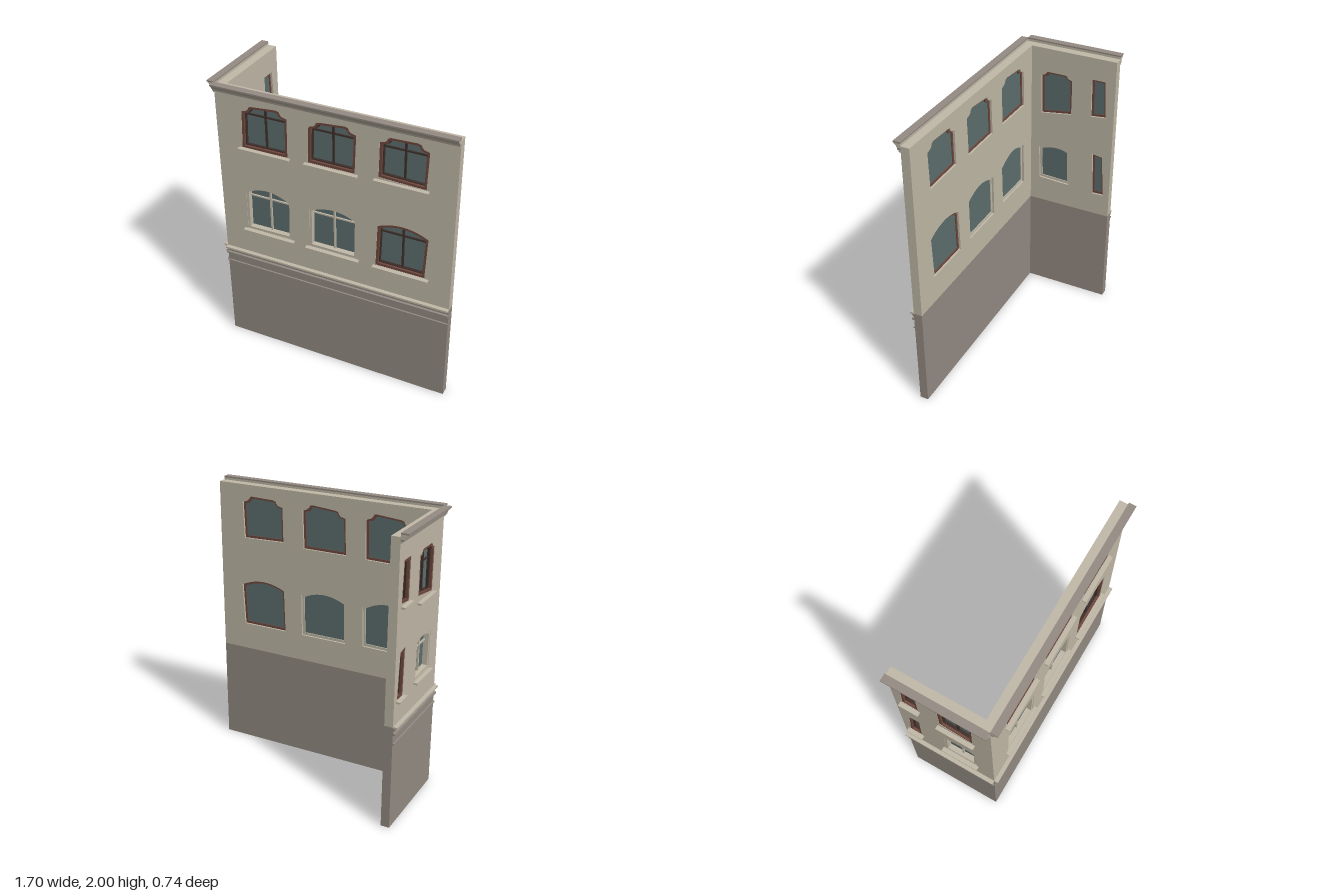
import * as THREE from 'three';

const mat = (name, color, side = THREE.FrontSide) => {
  const m = new THREE.MeshStandardMaterial({ color, side });
  m.name = name;
  return m;
};

export function createModel() {
  const plaster = mat('beige plaster', 0xc2baa8);
  const stone = mat('grey stone', 0x958c84);
  const glass = mat('window glass', 0x5e6f6f, THREE.DoubleSide);
  const brown = mat('brown frame', 0x70493f);
  const dark = mat('dark glazing bar', 0x3d2f2a);

  const T = 0.06, SPLIT = 0.74, TOP = 1.975;

  const add = (parent, name, geo, material) => {
    const m = new THREE.Mesh(geo, material);
    m.name = name;
    parent.add(m);
    return m;
  };
  const box = (parent, name, material, x0, x1, y0, y1, z0, z1) => {
    const g = new THREE.BoxGeometry(x1 - x0, y1 - y0, z1 - z0);
    g.translate((x0 + x1) / 2, (y0 + y1) / 2, (z0 + z1) / 2);
    return add(parent, name, g, material);
  };
  const toVec = (pts) => pts.map(([x, y]) => new THREE.Vector2(x, y));

  // Profile given as [outward, y], run along the wall from u0 to u1
  const moulding = (parent, name, material, u0, u1, profile) => {
    const g = new THREE.ExtrudeGeometry(new THREE.Shape(toVec(profile)), { depth: u1 - u0, bevelEnabled: false });
    g.rotateY(-Math.PI / 2);
    g.translate(u1, 0, 0);
    add(parent, name, g, material);
  };

  // Window outline, anticlockwise from bottom left; tl and tr are the shoulders
  const outline = ({ bl, tl, tr, br, style, rise = 0, notch = 0.075 }) => {
    if (style === 'arched') {
      const mid = new THREE.Vector2((tl[0] + tr[0]) / 2, (tl[1] + tr[1]) / 2 + rise * 2);
      const arc = new THREE.QuadraticBezierCurve(new THREE.Vector2(...tr), mid, new THREE.Vector2(...tl));
      return [...toVec([bl, br]), ...arc.getPoints(10)];
    }
    if (style === 'notched') {
      const steps = [[0, 0], [0.45, 0.2], [0.62, 0.45], [0.72, 0.85], [1, 1]];
      const right = steps.map(([a, b]) => [tr[0] - a * notch, tr[1] + b * rise]);
      const left = steps.map(([a, b]) => [tl[0] + a * notch, tl[1] + b * rise]).reverse();
      return toVec([bl, br, ...right, ...left]);
    }
    return toVec([bl, br, tr, tl]);
  };
  const inset = (pts, t) => {
    const b = new THREE.Box2().setFromPoints(pts);
    const c = b.getCenter(new THREE.Vector2()), s = b.getSize(new THREE.Vector2());
    return pts.map((p) => new THREE.Vector2(
      c.x + (p.x - c.x) * (1 - 2 * t / s.x), c.y + (p.y - c.y) * (1 - 2 * t / s.y)));
  };

  const buildWindow = (parent, w) => {
    const g = new THREE.Group();
    g.name = 'window';
    parent.add(g);
    const pts = outline(w);
    const t = w.pale ? 0.018 : 0.017;
    const inner = inset(pts, t);
    // Surround frame
    const ring = new THREE.Shape(pts);
    ring.holes.push(new THREE.Path(inner));
    const rg = new THREE.ExtrudeGeometry(ring, { depth: 0.043, bevelEnabled: false });
    rg.translate(0, 0, -0.046);
    add(g, 'windowFrame', rg, w.pale ? plaster : brown);
    // Pane
    const pane = new THREE.ShapeGeometry(new THREE.Shape(inner));
    pane.translate(0, 0, -0.04);
    add(g, 'windowPane', pane, glass);
    // Glazing bars
    const bar = w.pale ? plaster : dark;
    const b = new THREE.Box2().setFromPoints(inner);
    const mid = (b.min.x + b.max.x) / 2;
    const wide = w.style !== 'plain';
    if (wide) box(g, 'uprightBar', bar, mid - 0.006, mid + 0.006, b.min.y, b.max.y - 0.004, -0.039, -0.026);
    if (wide) box(g, 'crossBar', bar, b.min.x + 0.003, b.max.x - 0.003, w.bar - 0.005, w.bar + 0.005, -0.039, -0.028);
    // Dark inner rim
    if (!w.pale) {
      const rim = new THREE.Shape(inner);
      rim.holes.push(new THREE.Path(inset(inner, 0.006)));
      const ig = new THREE.ExtrudeGeometry(rim, { depth: 0.02, bevelEnabled: false });
      ig.translate(0, 0, -0.039);
      add(g, 'innerRim', ig, dark);
    }
    // Sill in two steps
    const [s0, s1, sy] = w.sill;
    box(g, 'sill', plaster, s0, s1, sy, sy + 0.011, -0.01, 0.03);
    box(g, 'sillStep', plaster, s0 + 0.012, s1 - 0.012, sy - 0.008, sy, -0.01, 0.021);
  };

  // One wall in its own frame: u along x, outside at +z, outer face at z = 0
  const buildWall = (name, u0, u1, trimEnd, windows) => {
    const g = new THREE.Group();
    g.name = name;
    box(g, 'lowerWall', stone, u0, u1, 0, SPLIT, -T, 0);
    const face = new THREE.Shape(toVec([[u0, SPLIT], [u1, SPLIT], [u1, TOP], [u0, TOP]]));
    windows.forEach((w) => face.holes.push(new THREE.Path(outline(w))));
    const wg = new THREE.ExtrudeGeometry(face, { depth: T, bevelEnabled: false });
    wg.translate(0, 0, -T);
    add(g, 'upperWall', wg, plaster);
    windows.forEach((w) => buildWindow(g, w));

    // Cornice
    moulding(g, 'cornice', plaster, u0, trimEnd, [[0, 1.96], [0.025, 1.96], [0.03, 1.972], [0.04, 1.98], [0.045, 1.99], [0, 1.99]]);
    box(g, 'corniceCap', stone, u0, trimEnd, 1.99, 2, 0, 0.05);
    box(g, 'corniceBand', stone, u0, trimEnd, 1.948, 1.96, 0, 0.022);
    box(g, 'corniceFoot', plaster, u0, trimEnd, 1.934, 1.948, 0, 0.014);
    // String courses
    box(g, 'upperCourse', plaster, u0, trimEnd, 0.734, 0.746, 0, 0.028);
    moulding(g, 'upperCourseFoot', stone, u0, trimEnd, [[0, 0.715], [0.008, 0.718], [0.018, 0.734], [0, 0.734]]);
    box(g, 'middleCourse', stone, u0, trimEnd, 0.685, 0.698, 0, 0.017);
    box(g, 'lowerCourse', stone, u0, trimEnd, 0.617, 0.626, 0, 0.011);
    return g;
  };

  const frontWindows = [
    { style: 'notched', bl: [-0.62, 1.57], tl: [-0.61, 1.835], tr: [-0.285, 1.85], br: [-0.29, 1.575], rise: 0.045, bar: 1.81, sill: [-0.64, -0.27, 1.562] },
    { style: 'notched', bl: [-0.145, 1.58], tl: [-0.135, 1.835], tr: [0.19, 1.85], br: [0.18, 1.58], rise: 0.045, bar: 1.81, sill: [-0.165, 0.205, 1.566] },
    { style: 'notched', bl: [0.34, 1.6], tl: [0.345, 1.845], tr: [0.665, 1.85], br: [0.655, 1.59], rise: 0.045, bar: 1.81, sill: [0.315, 0.675, 1.577] },
    { style: 'arched', pale: true, bl: [-0.62, 0.94], tl: [-0.615, 1.25], tr: [-0.275, 1.235], br: [-0.285, 0.945], rise: 0.05, bar: 1.2, sill: [-0.64, -0.26, 0.93] },
    { style: 'arched', pale: true, bl: [-0.15, 0.935], tl: [-0.145, 1.235], tr: [0.2, 1.235], br: [0.195, 0.935], rise: 0.045, bar: 1.195, sill: [-0.17, 0.215, 0.924] },
    { style: 'arched', bl: [0.33, 0.935], tl: [0.34, 1.24], tr: [0.685, 1.235], br: [0.67, 0.935], rise: 0.043, bar: 1.195, sill: [0.315, 0.7, 0.922] },
  ];
  // Along this wall u runs from back to front
  const sideWindows = [
    { style: 'notched', bl: [-0.05, 1.51], tl: [-0.05, 1.77], tr: [0.185, 1.77], br: [0.18, 1.475], rise: 0.032, notch: 0.055, bar: 1.7, sill: [-0.065, 0.2, 1.458] },
    { style: 'plain', bl: [-0.312, 1.545], tl: [-0.295, 1.815], tr: [-0.195, 1.815], br: [-0.2, 1.532], sill: [-0.325, -0.185, 1.52] },
    { style: 'arched', pale: true, bl: [-0.048, 0.925], tl: [-0.042, 1.2], tr: [0.195, 1.19], br: [0.187, 0.935], rise: 0.025, bar: 1.13, sill: [-0.065, 0.205, 0.912] },
    { style: 'plain', bl: [-0.325, 0.912], tl: [-0.3, 1.225], tr: [-0.225, 1.237], br: [-0.238, 0.908], sill: [-0.34, -0.22, 0.897] },
  ];

  const model = new THREE.Group();
  model.name = 'cornerFacade';
  const front = buildWall('frontWall', -0.8, 0.85, 0.85, frontWindows);
  front.position.z = 0.32;
  const side = buildWall('sideWall', -0.37, 0.26, 0.32, sideWindows);
  side.rotation.y = -Math.PI / 2;
  side.position.x = -0.8;
  model.add(front, side);
  return model;
}
